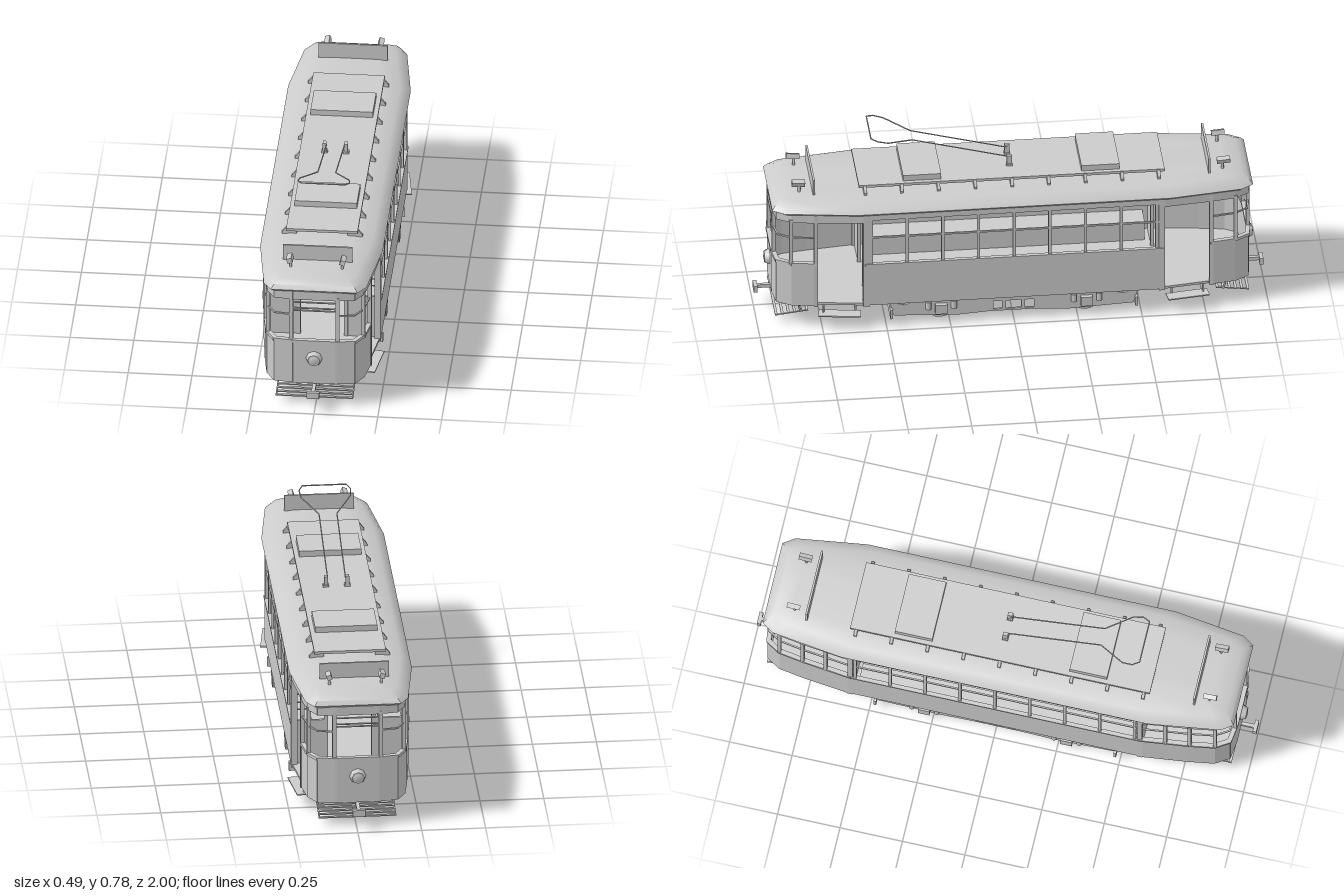
import * as THREE from 'three';
import { toCreasedNormals } from 'three/addons/utils/BufferGeometryUtils.js';

export function createModel() {
  const tram = new THREE.Group();
  tram.name = 'tram';
  // the car sits slightly off centre because the steps stick out on one side
  const car = new THREE.Group();
  car.name = 'car';
  car.position.x = -0.005;
  tram.add(car);
  const paint = new THREE.MeshStandardMaterial({ color: 0xcccccc, side: THREE.DoubleSide });
  paint.name = 'light grey';

  const add = (name, geo, x = 0, y = 0, z = 0) => {
    const m = new THREE.Mesh(geo, paint);
    m.name = name;
    m.position.set(x, y, z);
    car.add(m);
    return m;
  };
  // box given by its limits on each axis
  const box = (name, x0, x1, y0, y1, z0, z1) =>
    add(name, new THREE.BoxGeometry(Math.abs(x1 - x0), y1 - y0, Math.abs(z1 - z0)),
      (x0 + x1) / 2, (y0 + y1) / 2, (z0 + z1) / 2);
  // round bar between two points
  const bar = (name, a, b, r = 0.004, sides = 6) => {
    const A = new THREE.Vector3(...a), B = new THREE.Vector3(...b);
    const m = add(name, new THREE.CylinderGeometry(r, r, A.distanceTo(B), sides));
    m.position.copy(A).add(B).multiplyScalar(0.5);
    m.quaternion.setFromUnitVectors(new THREE.Vector3(0, 1, 0), B.sub(A).normalize());
    return m;
  };
  // upright wall that follows a plan path of [x, z] points
  const wall = (name, path, y0, y1, t = 0.01) => {
    for (let i = 0; i + 1 < path.length; i++) {
      const [ax, az] = path[i], [bx, bz] = path[i + 1];
      const m = add(name, new THREE.BoxGeometry(Math.hypot(bx - ax, bz - az) + t * 0.4, y1 - y0, t),
        (ax + bx) / 2, (y0 + y1) / 2, (az + bz) / 2);
      m.rotation.y = -Math.atan2(bz - az, bx - ax);
    }
  };
  const shape = (pts) => new THREE.Shape(pts.map(([x, y]) => new THREE.Vector2(x, y)));
  // closed plan outline from one quarter, running from the front right corner
  const outline = (q) => [
    ...q, ...q.slice().reverse().map(([x, z]) => [x, -z]),
    ...q.map(([x, z]) => [-x, -z]), ...q.slice().reverse().map(([x, z]) => [-x, z]),
  ];

  // Roof: an open shell of stacked rings, inset as they rise
  const rings = [[0.006, 0.512], [-0.005, 0.523], [0.008, 0.54], [0.034, 0.558], [0.1, 0.567]];
  const quarter = [[0.165, 0.938], [0.196, 0.892], [0.22, 0.72], [0.235, 0.61]];
  const pos = [], idx = [], n = quarter.length * 4;
  for (const [d, y] of rings)
    for (const [x, z] of outline(quarter.map(([x, z]) => [x - d, z - d]))) pos.push(x, y, z);
  for (let r = 0; r + 1 < rings.length; r++)
    for (let i = 0; i < n; i++) {
      const a = r * n + i, b = r * n + (i + 1) % n;
      idx.push(a, b, a + n, b, b + n, a + n);
    }
  const peak = pos.length / 3, top = (rings.length - 1) * n;
  pos.push(0, 0.569, 0);
  for (let i = 0; i < n; i++) idx.push(peak, top + i, top + (i + 1) % n);
  const roof = new THREE.BufferGeometry();
  roof.setAttribute('position', new THREE.Float32BufferAttribute(pos, 3));
  roof.setIndex(idx);
  add('roof', toCreasedNormals(roof, 0.6));

  // Floor
  const plan = shape(outline([[0.15, 0.922], [0.186, 0.87], [0.226, 0.58]]));
  const floor = add('floor', new THREE.ExtrudeGeometry(plan, { depth: 0.01, bevelEnabled: false }), 0, 0.113, 0);
  floor.rotation.x = Math.PI / 2;

  // Saloon sides with eight windows each
  for (const s of [1, -1]) {
    box('sidePanel', s * 0.22, s * 0.23, 0.108, 0.29, -0.585, 0.585);
    box('windowSill', s * 0.218, s * 0.234, 0.285, 0.293, -0.585, 0.585);
    box('sideFascia', s * 0.22, s * 0.23, 0.49, 0.515, -0.585, 0.585);
    box('windowRail', s * 0.222, s * 0.228, 0.407, 0.414, -0.57, 0.57);
    for (let i = -4; i <= 4; i++)
      box('windowPost', s * 0.22, s * 0.23, 0.29, 0.495, i * 0.14 - 0.006, i * 0.14 + 0.006);
    box('bench', s * 0.13, s * 0.22, 0.19, 0.2, -0.55, 0.55);
    box('benchFront', s * 0.135, s * 0.143, 0.112, 0.19, -0.55, 0.55);
    bar('strapRail', [s * 0.085, 0.485, -0.57], [s * 0.085, 0.485, 0.57], 0.0025);
    for (const z of [0.38, 0.17, -0.06, -0.16, -0.4]) {
      bar('strap', [s * 0.085, 0.485, z], [s * 0.085, 0.455, z], 0.0015, 4);
      box('strapGrip', s * 0.083, s * 0.087, 0.44, 0.457, z - 0.006, z + 0.006);
    }
  }

  // Both ends: closed on the left, open doorway on the right
  for (const e of [1, -1]) {
    const P = (path) => path.map(([x, z]) => [x, e * z]);
    const nose = [[-0.225, 0.58], [-0.203, 0.77], [-0.187, 0.87], [-0.155, 0.922], [-0.085, 0.932],
      [0.085, 0.932], [0.155, 0.922], [0.187, 0.87], [0.203, 0.775]];
    wall('endPanel', P(nose), 0.102, 0.29);
    wall('endSill', P(nose), 0.284, 0.296, 0.018);
    wall('endFascia', P([...nose, [0.225, 0.58]]), 0.478, 0.515);
    wall('endWindowRail', P(nose.slice(0, 5)), 0.405, 0.411, 0.006);
    wall('endWindowRail', P(nose.slice(5)), 0.405, 0.411, 0.006);
    for (const y of [0.425, 0.436, 0.462])
      box('centreWindowRail', -0.085, 0.085, y, y + 0.004, e * 0.928, e * 0.935);
    for (const [x, z] of [[-0.091, 0.93], [0.091, 0.93], [-0.186, 0.872], [0.186, 0.872],
      [-0.203, 0.775], [-0.214, 0.68]])
      box('endPost', x - 0.008, x + 0.008, 0.29, 0.49, e * (z - 0.007), e * (z + 0.007));
    box('doorPost', 0.195, 0.211, 0.1, 0.515, e * 0.768, e * 0.784);
    box('doorPillar', 0.205, 0.23, 0.1, 0.515, e * 0.567, e * 0.592);
    box('cornerPillar', -0.23, -0.213, 0.1, 0.515, e * 0.57, e * 0.59);

    // Bulkhead between saloon and platform
    for (const s of [1, -1]) {
      box('bulkheadPanel', s * 0.09, s * 0.222, 0.11, 0.295, e * 0.57, e * 0.58);
      box('bulkheadPost', s * 0.085, s * 0.1, 0.11, 0.49, e * 0.568, e * 0.582);
      for (const y of [0.34, 0.37, 0.405])
        box('bulkheadRail', s * 0.1, s * 0.222, y, y + 0.004, e * 0.573, e * 0.577);
    }
    box('bulkheadHeader', -0.222, 0.222, 0.478, 0.54, e * 0.57, e * 0.58);

    // Door step and hangers
    const step = box('doorStep', 0.185, 0.234, 0.06, 0.065, e * 0.6, e * 0.765);
    step.rotation.y = e * -0.14;
    for (const z of [0.62, 0.745]) bar('stepHanger', [0.195, 0.063, e * z], [0.19, 0.105, e * z]);

    // Headlamp
    const lamp = add('headlamp', new THREE.CylinderGeometry(0.024, 0.034, 0.024, 8), 0, 0.215, e * 0.945);
    lamp.rotation.x = e * Math.PI / 2;
    const lens = add('lampLens', new THREE.SphereGeometry(0.02, 12, 6, 0, Math.PI * 2, 0, Math.PI / 2), 0, 0.215, e * 0.954);
    lens.rotation.x = e * Math.PI / 2;
    lens.scale.y = 0.3;

    // Coupler
    box('couplerShaft', -0.007, 0.007, 0.077, 0.091, e * 0.86, e * 0.99);
    box('couplerHead', -0.025, 0.025, 0.068, 0.095, e * 0.985, e * 1.0);

    // Slatted fender
    for (let i = 0; i < 6; i++) {
      const z = 0.805 + i * 0.024, y = 0.051 - i * 0.0028;
      box('fenderSlat', -0.152, 0.152, y - 0.0025, y + 0.0025, e * (z - 0.005), e * (z + 0.005));
    }
    box('fenderCrossbar', -0.152, 0.152, 0.075, 0.083, e * 0.836, e * 0.842);
    for (const x of [-0.149, 0.149]) {
      bar('fenderRib', [x, 0.051, e * 0.8], [x, 0.037, e * 0.928], 0.003);
      bar('fenderHanger', [x, 0.047, e * 0.83], [x, 0.105, e * 0.845], 0.004);
    }

    // Roof board and roof lamps
    box('roofBoard', -0.136, 0.136, 0.564, 0.63, e * 0.772, e * 0.78);
    for (const s of [1, -1]) {
      bar('roofLampPost', [s * 0.1, 0.55, e * 0.83], [s * 0.103, 0.6, e * 0.83], 0.006);
      const head = box('roofLamp', s * 0.104 - 0.01, s * 0.104 + 0.01, 0.593, 0.613, e * 0.808, e * 0.86);
      head.rotation.set(e * -0.08, 0, s * -0.35);
    }

    // Roof hatch, truck crossbeam and wheelset
    box('roofHatch', -0.122, 0.122, 0.597, 0.622, e * 0.275, e * 0.425);
    box('truckCrossbeam', -0.23, 0.23, 0.036, 0.075, e * 0.475, e * 0.486);
    bar('axle', [-0.16, 0.06, e * 0.285], [0.16, 0.06, e * 0.285], 0.013, 10);
    for (const s of [1, -1]) {
      bar('wheel', [s * 0.148, 0.06, e * 0.285], [s * 0.172, 0.06, e * 0.285], 0.06, 20);
      box('axleBox', s * 0.205, s * 0.228, 0.045, 0.085, e * 0.262, e * 0.308);
      for (const d of [-0.05, 0.05])
        bar('axleSpring', [s * 0.216, 0.065, e * 0.285 + d], [s * 0.216, 0.098, e * 0.285 + d], 0.011, 8);
    }
  }

  // Truck side frames with three openings
  const frame = shape([[-0.49, 0.105], [-0.47, 0.04], [-0.36, 0.035], [-0.22, 0.028], [-0.1, 0.036],
    [0.1, 0.036], [0.22, 0.028], [0.36, 0.035], [0.47, 0.04], [0.49, 0.105], [0.43, 0.085], [0.38, 0.1],
    [-0.38, 0.1], [-0.43, 0.085]]);
  for (const [a, b] of [[-0.08, -0.045], [-0.03, 0.03], [0.045, 0.08]])
    frame.holes.push(shape([[a, 0.044], [a, 0.08], [b, 0.08], [b, 0.044]]));
  for (const s of [1, -1]) {
    const f = add('truckFrame', new THREE.ExtrudeGeometry(frame, { depth: 0.008, bevelEnabled: false }),
      s * 0.205 - 0.004, 0, 0);
    f.rotation.y = Math.PI / 2;
  }

  // Roof walkway on wedge brackets
  box('roofDeck', -0.14, 0.14, 0.587, 0.598, -0.6, 0.6);
  const wedge = shape([[0.1, 0.56], [0.158, 0.56], [0.158, 0.572], [0.138, 0.597], [0.1, 0.597]]);
  for (let i = -4; i <= 4; i++)
    for (const s of [1, -1]) {
      const w = add('deckBracket', new THREE.ExtrudeGeometry(wedge, { depth: 0.012, bevelEnabled: false }),
        0, 0, i * 0.144 + s * -0.006);
      if (s < 0) w.rotation.y = Math.PI;
    }

  // Bow collector
  const bow = [[-0.035, 0.63, 0], [-0.035, 0.73, 0.38], [-0.097, 0.758, 0.48], [-0.101, 0.769, 0.52], [-0.086, 0.776, 0.547]];
  const loop = [...bow, ...bow.slice().reverse().map(([x, y, z]) => [-x, y, z])];
  for (let i = 0; i + 1 < loop.length; i++) bar('bowCollector', loop[i], loop[i + 1], 0.0026);
  for (const x of [-0.042, 0.042]) {
    box('collectorMount', x - 0.012, x + 0.012, 0.597, 0.606, -0.012, 0.012);
    box('collectorPivot', x - 0.007, x + 0.007, 0.604, 0.641, -0.01, 0.01);
  }
  return tram;
}
